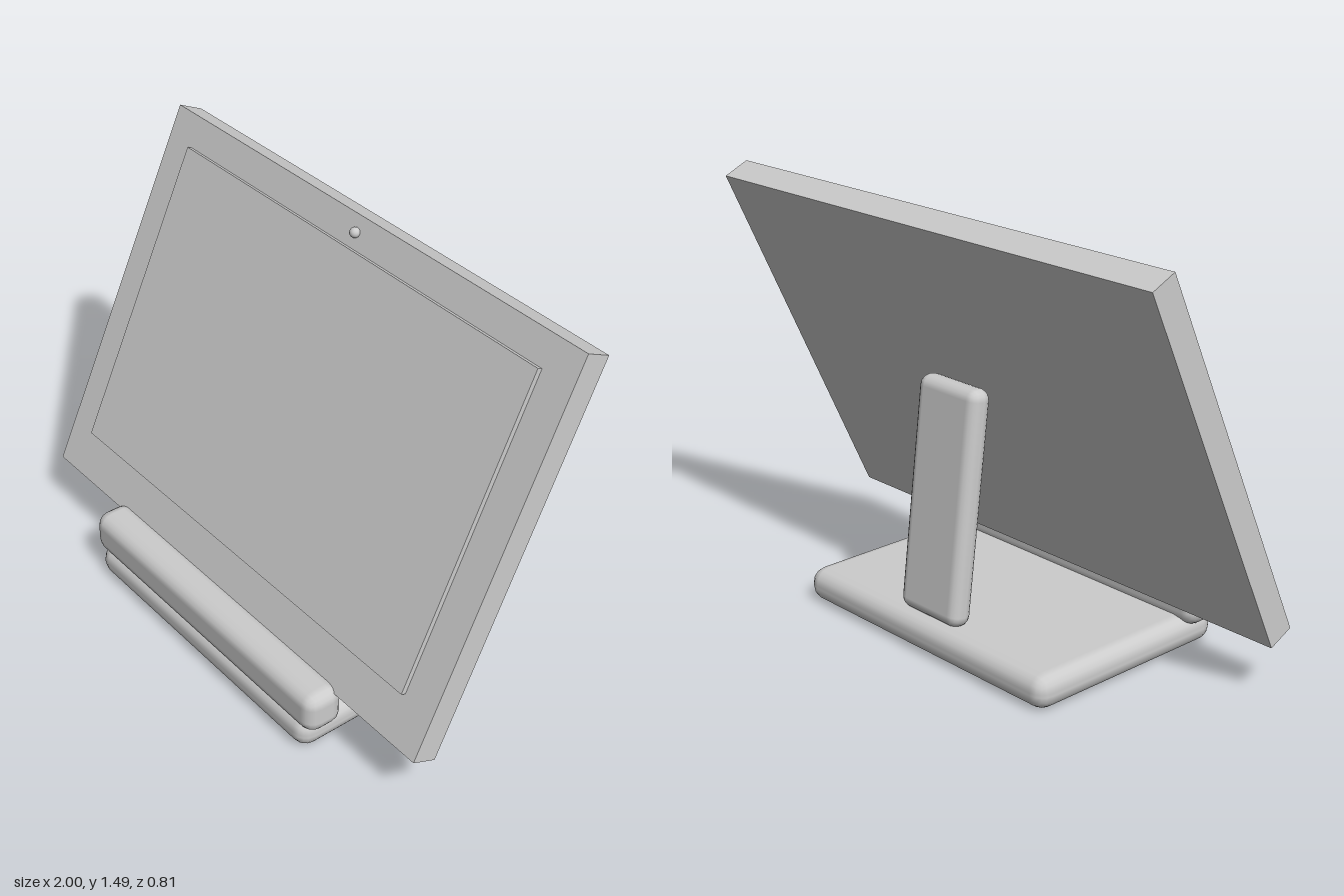
import * as THREE from 'three';
import { RoundedBoxGeometry } from 'three/addons/geometries/RoundedBoxGeometry.js';

const material = new THREE.MeshStandardMaterial({ color: 0xcccccc });

function addPart(parent, name, geometry, x, y, z) {
  const mesh = new THREE.Mesh(geometry, material);
  mesh.name = name;
  mesh.position.set(x, y, z);
  parent.add(mesh);
  return mesh;
}

export function createModel() {
  const model = new THREE.Group();
  model.name = 'tabletOnStand';

  // Stand: base plate, front lip and leaning rear support
  addPart(model, 'base', new RoundedBoxGeometry(1.19, 0.12, 0.81, 2, 0.055), 0, 0.06, 0);
  addPart(model, 'frontLip', new RoundedBoxGeometry(1.25, 0.157, 0.147, 2, 0.05), 0, 0.166, 0.327);
  const support = addPart(model, 'rearSupport',
    new RoundedBoxGeometry(0.285, 0.81, 0.087, 2, 0.04), 0, 0.515, -0.275);
  support.rotation.x = THREE.MathUtils.degToRad(7.1);

  // Display tilted back, resting against the lip
  const display = new THREE.Group();
  display.name = 'display';
  display.position.set(0, 0.836, -0.048);
  display.rotation.x = THREE.MathUtils.degToRad(-25);
  model.add(display);

  addPart(display, 'displayBody', new THREE.BoxGeometry(2, 1.4, 0.098), 0, 0, 0);
  addPart(display, 'screen', new THREE.BoxGeometry(1.742, 1.121, 0.04), 0, 0.029, 0.048);
  addPart(display, 'camera', new THREE.SphereGeometry(0.018, 16, 12), 0, 0.643, 0.057);

  return model;
}
